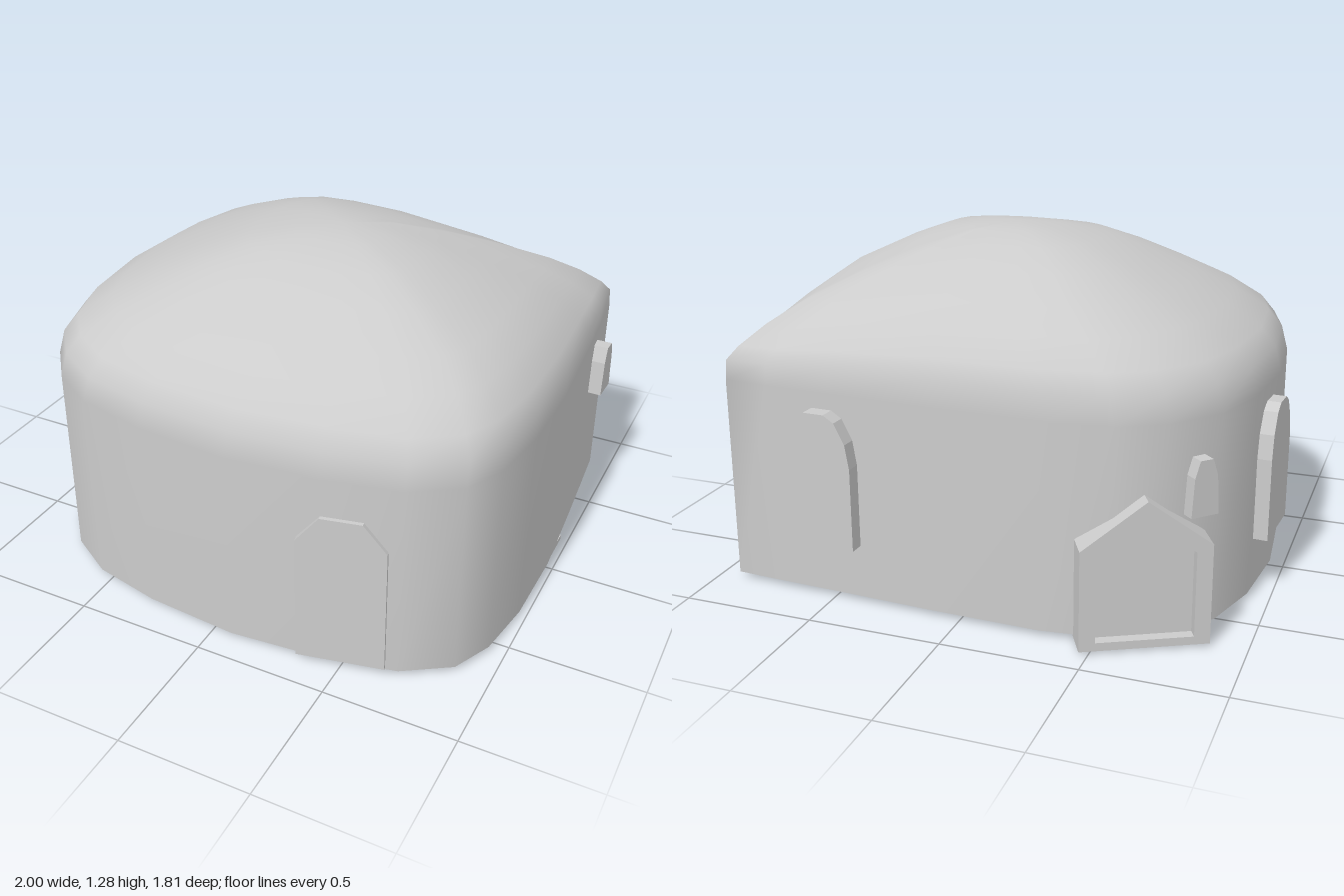
import * as THREE from 'three';

// Ground plan (x, z), starting at the one sharp corner
const PLAN = [
  [0.92, -0.78], [0.935, -0.6], [0.955, -0.35], [0.98, 0], [0.975, 0.32], [0.94, 0.55],
  [0.87, 0.7], [0.7, 0.81], [0.42, 0.87], [0.08, 0.9], [-0.28, 0.87], [-0.55, 0.81],
  [-0.73, 0.7], [-0.85, 0.55], [-0.92, 0.32], [-0.95, 0], [-0.92, -0.31], [-0.85, -0.54],
  [-0.71, -0.71], [-0.55, -0.8], [-0.3, -0.83], [0.1, -0.82], [0.5, -0.8], [0.75, -0.79],
];
// Rings from the foot to the crown: scale, height, centre x, centre z, dip at the sharp corner
const RINGS = [
  [1, 0.02, 0.015, 0.04, 0], [1, 0.78, 0.015, 0.04, 0], [0.985, 0.875, 0.025, 0.035, 0.02],
  [0.938, 0.945, 0.035, 0.03, 0.045], [0.83, 1.03, 0.06, 0.02, 0.06], [0.7, 1.1, 0.08, 0.01, 0.06],
  [0.52, 1.178, 0.083, 0.01, 0.05], [0.347, 1.24, 0.085, 0.01, 0.04], [0.17, 1.27, 0.083, 0.005, 0.01],
];

const grey = new THREE.MeshStandardMaterial({ color: 0xcccccc });

function addMesh(group, name, geometry) {
  const mesh = new THREE.Mesh(geometry, grey);
  mesh.name = name;
  group.add(mesh);
  return mesh;
}

// Walls running smoothly into the dome
function shellGeometry() {
  const n = PLAN.length, pos = [], index = [];
  for (const [s, y, cx, cz, dip] of RINGS) {
    for (const [x, z] of PLAN) {
      const d = Math.hypot(x - 0.92, z + 0.78);
      pos.push(cx + s * (x - 0.015), y - dip * Math.exp(-d * d * 4), cz + s * (z - 0.04));
    }
  }
  pos.push(0.08, 1.285, 0);
  const apex = n * RINGS.length;
  for (let k = 0; k < RINGS.length; k++) {
    for (let i = 0; i < n; i++) {
      const a = k * n + i, b = k * n + (i + 1) % n;
      if (k === RINGS.length - 1) index.push(a, apex, b);
      else index.push(a, a + n, b, b, a + n, b + n);
    }
  }
  const g = new THREE.BufferGeometry();
  g.setAttribute('position', new THREE.Float32BufferAttribute(pos, 3));
  g.setIndex(index);
  g.computeVertexNormals();
  return g;
}

// Half profile (x, y) mirrored into a full shape
function mirrored(half, Type = THREE.Shape) {
  const right = half.map(([x, y]) => new THREE.Vector2(x, y));
  const left = half.filter(([x]) => x > 0).map(([x, y]) => new THREE.Vector2(-x, y)).reverse();
  return new Type([...right, ...left]);
}

// Slab whose outer face is centred on (x, z) and looks along (nx, nz)
function addSlab(group, name, shape, depth, [x, y, z], [nx, nz]) {
  const g = new THREE.ExtrudeGeometry(shape, { depth, bevelEnabled: false });
  g.translate(0, 0, -depth);
  const mesh = addMesh(group, name, g);
  mesh.position.set(x, y, z);
  mesh.rotation.y = Math.atan2(nx, nz);
  return mesh;
}

export function createModel() {
  const group = new THREE.Group();
  addMesh(group, 'wallsAndDome', shellGeometry());

  // Underside
  const base = new THREE.ShapeGeometry(new THREE.Shape(PLAN.map(([x, z]) => new THREE.Vector2(x, z))));
  base.rotateX(Math.PI / 2);
  addMesh(group, 'floor', base).position.y = 0.02;

  // Front door with a clipped arch
  const door = mirrored([[0.16, 0], [0.16, 0.5], [0.075, 0.605]]);
  addSlab(group, 'frontDoor', door, 0.06, [0.502, 0.03, 0.868], [0.21, 0.98]);

  // Large arched windows
  const arch = mirrored([[0.135, 0], [0.135, 0.31], [0.12, 0.4], [0.08, 0.475], [0.04, 0.5]]);
  addSlab(group, 'backWindow', arch, 0.07, [0.525, 0.22, -0.857], [0.03, -1]);
  addSlab(group, 'rightWindow', arch, 0.07, [-0.987, 0.22, -0.135], [-1, -0.07]);

  // Small windows
  const slit = mirrored([[0.054, 0], [0.045, 0.14], [0.025, 0.2]]);
  addSlab(group, 'leftWindow', slit, 0.07, [0.997, 0.53, -0.535], [1, 0.03]);
  addSlab(group, 'cornerWindow', slit, 0.1, [-0.825, 0.45, -0.65], [-0.72, -0.69]);

  // Gabled porch at the back corner: a frame around a recessed panel
  const gable = [[0.226, 0], [0.226, 0.365], [0, 0.53]];
  const opening = [[0.17, 0.03], [0.17, 0.34], [0, 0.455]];
  const frame = mirrored(gable);
  frame.holes.push(mirrored(opening, THREE.Path));
  const out = [-0.465, -0.885];
  addSlab(group, 'porchFrame', frame, 0.12, [-0.67, 0.01, -0.805], out);
  addSlab(group, 'porchPanel', mirrored(opening), 0.06, [-0.652, 0.01, -0.77], out);

  // Side slab and small feet under the floor
  addMesh(group, 'sideSlab', new THREE.BoxGeometry(0.2, 0.02, 0.45)).position.set(0.87, 0.01, 0.025);
  const feet = [[-0.5, 0.46], [-0.18, 0.77], [0.1, 0.36], [0.1, -0.1], [-0.2, 0.3], [-0.5, 0.1]];
  for (const [x, z] of feet) {
    addMesh(group, 'foot', new THREE.BoxGeometry(0.045, 0.02, 0.045)).position.set(x, 0.01, z);
  }
  return group;
}
